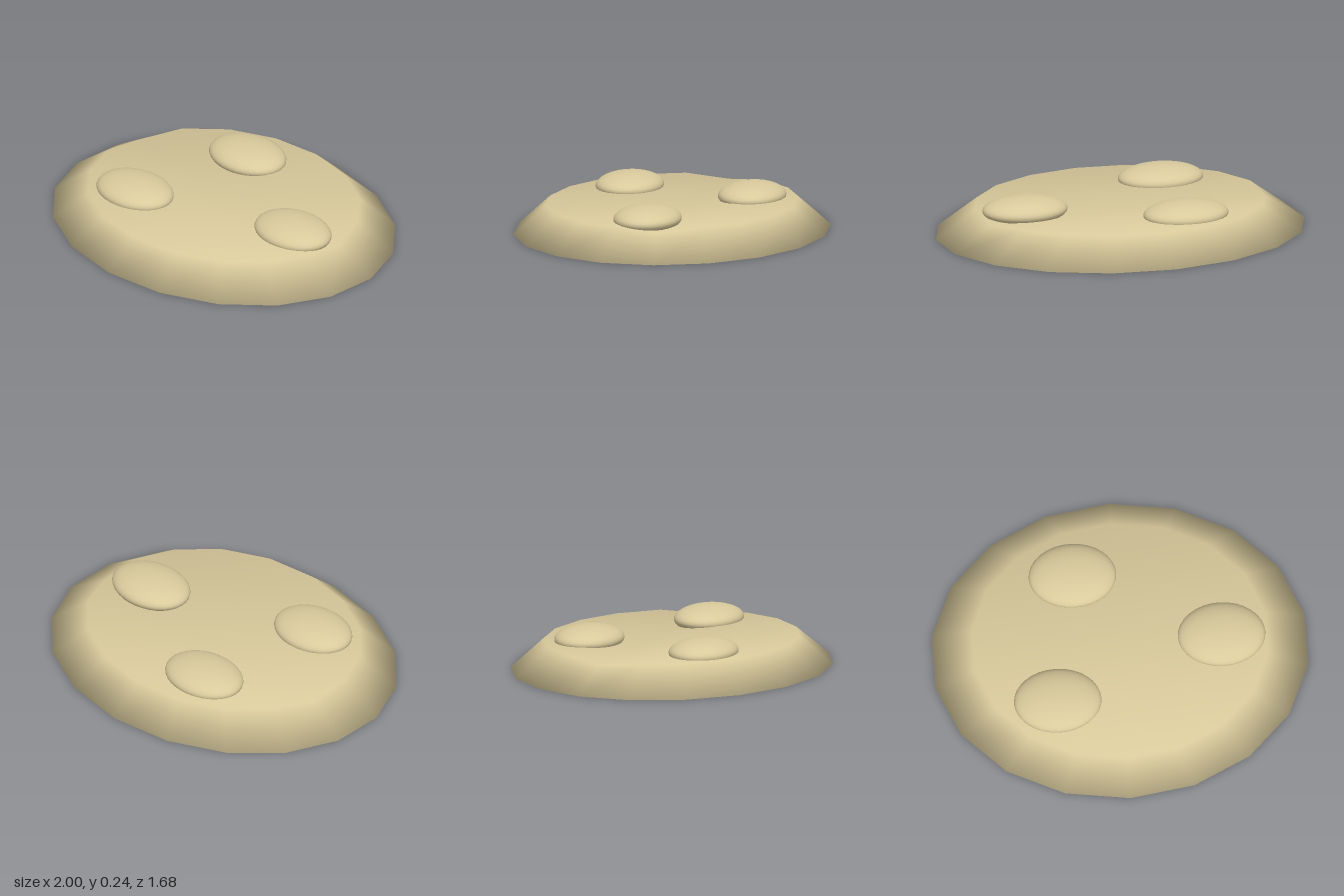
import * as THREE from 'three';

const SIDES = 18;

// Faceted oval slab with sloping sides and soft normals that roll over the rim
function slabGeometry() {
  const pos = [], nor = [], idx = [];
  const ring = (rx, rz, y, dip, out, up) => {
    for (let k = 0; k < SIDES; k++) {
      const a = (k / SIDES) * Math.PI * 2, s = Math.sin(a), c = Math.cos(a);
      const low = k === 4 || k === SIDES - 4; // slight sag across the top
      pos.push(rx * s, low ? y - dip : y, -rz * c);
      const n = new THREE.Vector3(s / rx, 0, -c / rz).setLength(out);
      n.y = up;
      n.normalize();
      nor.push(n.x, n.y, n.z);
    }
  };
  ring(1.015, 0.84, 0, 0, 0.95, -0.32);          // bottom rim
  ring(0.8, 0.67, 0.155, 0.022, 0.32, 0.95);     // top shoulder

  // Sloping wall
  for (let k = 0; k < SIDES; k++) {
    const n = (k + 1) % SIDES;
    idx.push(n, k, k + SIDES, n, k + SIDES, n + SIDES);
  }
  // Top and bottom faces, filled in strips from back to front
  const half = SIDES / 2;
  for (let k = 0; k < half; k++) {
    const r = k, l = (SIDES - k) % SIDES, r2 = k + 1, l2 = SIDES - k - 1;
    const tris = [];
    if (r !== l) tris.push([r, l, l2]);
    if (r2 !== l2) tris.push([r, l2, r2]);
    for (const [a, b, c] of tris) {
      idx.push(a + SIDES, b + SIDES, c + SIDES, a, c, b);
    }
  }
  const g = new THREE.BufferGeometry();
  g.setAttribute('position', new THREE.Float32BufferAttribute(pos, 3));
  g.setAttribute('normal', new THREE.Float32BufferAttribute(nor, 3));
  g.setIndex(idx);
  return g;
}

export function createModel() {
  const model = new THREE.Group();
  model.name = 'studdedOvalSlab';
  const sand = new THREE.MeshStandardMaterial({ color: 0xd9ca9c });
  sand.name = 'sand';

  const slab = new THREE.Mesh(slabGeometry(), sand);
  slab.name = 'slab';
  model.add(slab);

  // Three flattened domes resting on the top
  const domeGeometry = new THREE.SphereGeometry(1, 32, 20);
  [[-0.23, -0.385], [0.545, 0], [-0.355, 0.32]].forEach(([x, z], i) => {
    const dome = new THREE.Mesh(domeGeometry, sand);
    dome.name = `dome${i + 1}`;
    dome.scale.set(0.235, 0.072, 0.18);
    dome.position.set(x, 0.164, z);
    model.add(dome);
  });
  return model;
}
